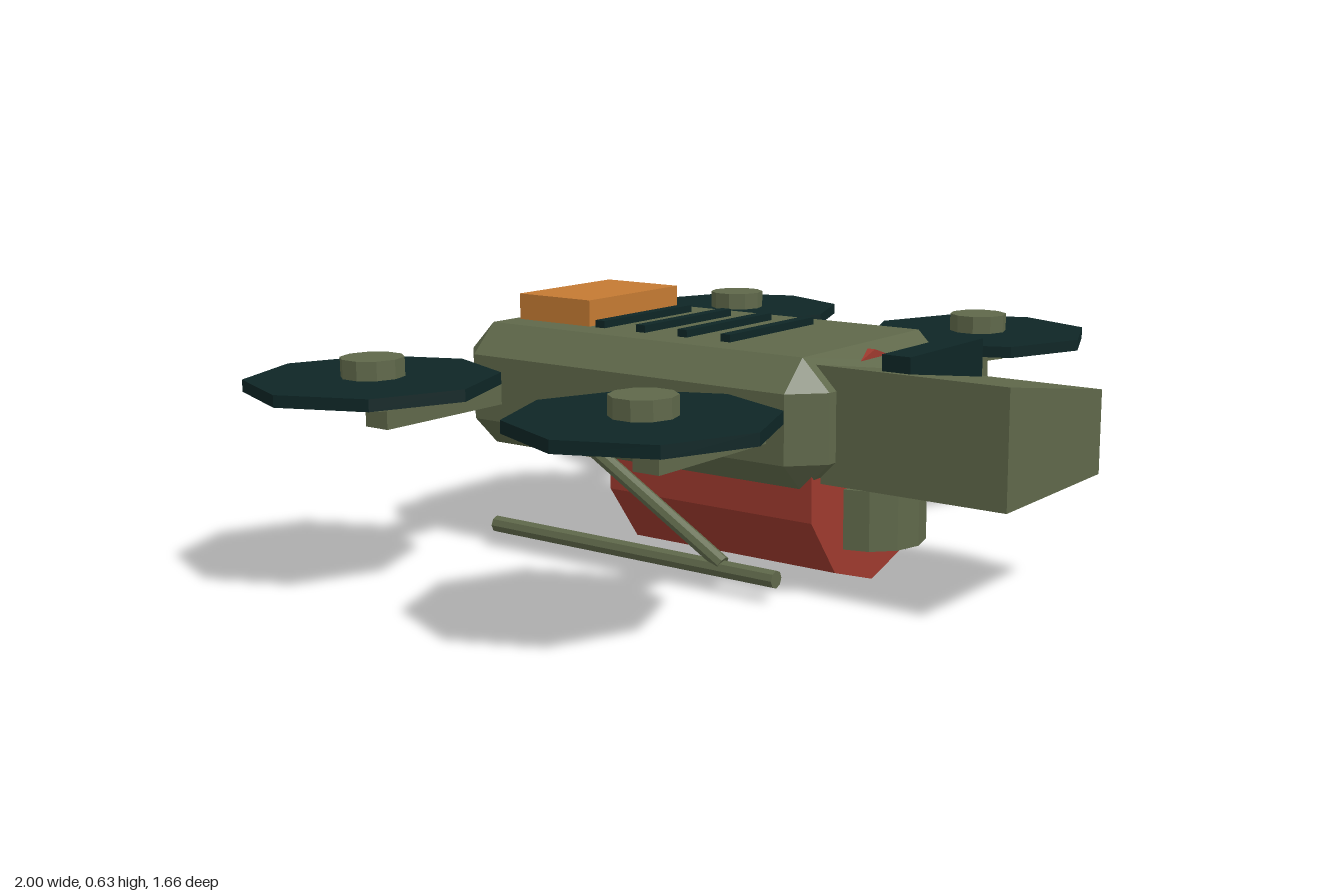
import * as THREE from 'three';
import { ConvexGeometry } from 'three/addons/geometries/ConvexGeometry.js';

const paint = (name, color) => Object.assign(new THREE.MeshStandardMaterial({ color }), { name });

// Separate the faces so every facet is shaded flat
function faceted(geometry) {
  const flat = geometry.toNonIndexed();
  flat.computeVertexNormals();
  return flat;
}

const box = (w, h, d) => new THREE.BoxGeometry(w, h, d);
const drum = (r, h, sides) => faceted(new THREE.CylinderGeometry(r, r, h, sides));

// Box with all edges and corners cut off by c
function chamferedBox(w, h, d, c) {
  const points = [];
  for (const sx of [-1, 1]) for (const sy of [-1, 1]) for (const sz of [-1, 1]) {
    for (let axis = 0; axis < 3; axis++) {
      const p = [w / 2 - c, h / 2 - c, d / 2 - c];
      p[axis] += c;
      points.push(new THREE.Vector3(sx * p[0], sy * p[1], sz * p[2]));
    }
  }
  return new ConvexGeometry(points);
}

// Straight rod between two points
function rod(a, b, r) {
  const from = new THREE.Vector3(...a), to = new THREE.Vector3(...b);
  const dir = to.clone().sub(from);
  const geometry = drum(r, dir.length(), 8);
  const turn = new THREE.Quaternion().setFromUnitVectors(new THREE.Vector3(0, 1, 0), dir.normalize());
  geometry.applyQuaternion(turn);
  const mid = from.add(to).multiplyScalar(0.5);
  return geometry.translate(mid.x, mid.y, mid.z);
}

export function createModel() {
  const model = new THREE.Group();
  model.name = 'drone';
  const olive = paint('olive', 0x5f684a);
  const dark = paint('dark teal', 0x0e2626);
  const red = paint('brick red', 0x9e3a2e);
  const orange = paint('orange', 0xc47a33);

  function add(name, geometry, material, x = 0, y = 0, z = 0, parent = model) {
    const mesh = new THREE.Mesh(geometry, material);
    mesh.name = name;
    mesh.position.set(x, y, z);
    parent.add(mesh);
    return mesh;
  }

  // Main hull
  add('hull', chamferedBox(0.65, 0.305, 1.07, 0.072), olive, 0, 0.4125, -0.13);

  // Nose with a top that slopes down to one side
  const profile = new THREE.Shape([
    new THREE.Vector2(-0.226, 0.278), new THREE.Vector2(0.226, 0.278),
    new THREE.Vector2(0.226, 0.475), new THREE.Vector2(-0.226, 0.547),
  ]);
  add('nose', new THREE.ExtrudeGeometry(profile, { depth: 0.53, bevelEnabled: false }), olive, 0, 0, 0.3);
  add('noseSensorBar', box(0.33, 0.1, 0.072), dark, 0, 0.525, 0.52);

  // Ten-sided cargo drum lying under the hull
  add('cargoDrum', drum(0.275, 0.58, 10).rotateX(Math.PI / 2), red, 0, 0.278, 0.075);

  // Camera turret with its lens ring
  add('cameraTurret', drum(0.13, 0.142, 12), olive, 0, 0.175, 0.36);
  add('cameraLens', drum(0.075, 0.022, 12).rotateX(Math.PI / 2), dark, 0, 0.165, 0.445);

  // Top pack and cooling vents
  add('topPack', box(0.35, 0.075, 0.228), orange, 0, 0.592, -0.46);
  for (let i = 0; i < 4; i++) {
    add('vent', box(0.35, 0.03, 0.028), dark, 0, 0.568, 0.065 - i * 0.126);
  }

  for (const side of [-1, 1]) {
    // Arm, motor and rotor disc at each corner
    for (const z of [0.25, -0.54]) {
      const corner = new THREE.Group();
      corner.name = 'rotorArm';
      corner.position.set(side * 0.71, 0, z);
      model.add(corner);
      add('arm', box(0.45, 0.07, 0.07), olive, -side * 0.23, 0.412, 0, corner);
      add('motor', drum(0.074, 0.115, 10), olive, 0, 0.487, 0, corner);
      add('rotorDisc', drum(0.29, 0.028, 8), dark, 0, 0.486, 0, corner);
    }

    // Landing skid and slanted strut
    const x = side * 0.29;
    add('skid', rod([x, 0.058, 0.29], [x, 0.058, -0.565], 0.021), olive);
    add('skidStrut', rod([x, 0.07, 0.14], [x, 0.325, -0.3], 0.019), olive);
  }
  return model;
}
